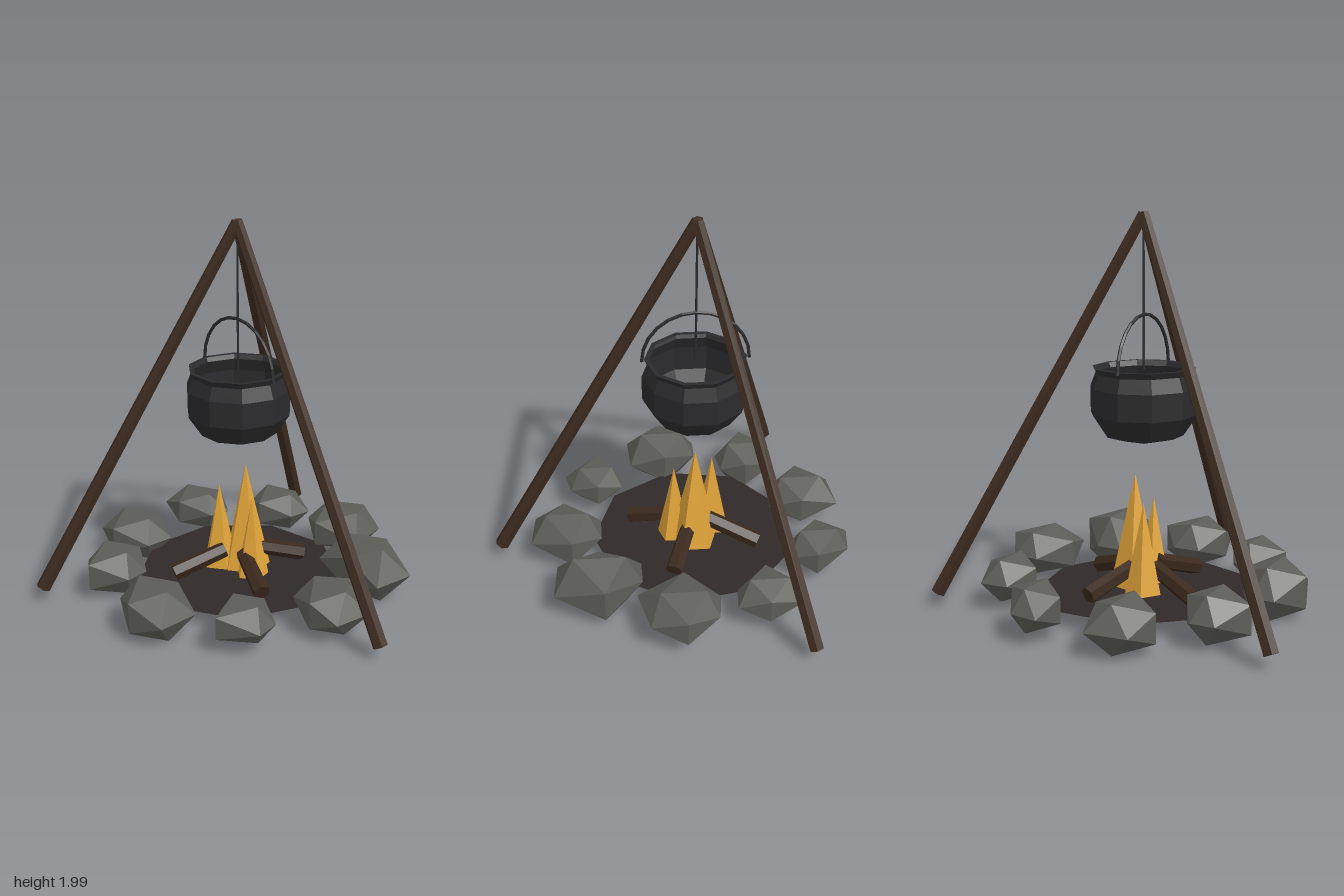
import * as THREE from 'three';

const CX = -0.126; // the fire and tripod axis

const mat = (color, extra = {}) => {
  const m = new THREE.MeshStandardMaterial({ flatShading: true, ...extra });
  m.color.set(color);
  return m;
};

const V = (x, y, z) => new THREE.Vector3(x, y, z);

// Tapered pole between two points
function pole(name, from, to, rFrom, rTo, sides, material) {
  const dir = to.clone().sub(from);
  const mesh = new THREE.Mesh(new THREE.CylinderGeometry(rTo, rFrom, dir.length(), sides), material);
  mesh.position.copy(from).addScaledVector(dir, 0.5);
  mesh.quaternion.setFromUnitVectors(V(0, 1, 0), dir.normalize());
  mesh.name = name;
  return mesh;
}

// Irregular stone: an icosahedron whose waist follows a six-point plan outline
// (back tip, back right, front right, front tip, front left, back left)
function stone(y0, y1, outline, material) {
  const geo = new THREE.IcosahedronGeometry(1, 0);
  const p = geo.attributes.position;
  const [back, backRight, frontRight, front, frontLeft, backLeft] = outline;
  const mid = (y0 + y1) / 2;
  const half = (y1 - y0) / 2;
  const cx = outline.reduce((sum, q) => sum + q[0], 0) / 6;
  const cz = outline.reduce((sum, q) => sum + q[1], 0) / 6;
  const width = (backRight[0] + frontRight[0] - backLeft[0] - frontLeft[0]) / 4;
  for (let i = 0; i < p.count; i++) {
    const x = p.getX(i), y = p.getY(i), z = p.getZ(i);
    if (Math.abs(x) > 0.8) {
      const [qx, qz] = x > 0 ? (z > 0 ? frontRight : backRight) : (z > 0 ? frontLeft : backLeft);
      p.setXYZ(i, qx, mid, qz);
    } else if (Math.abs(z) > 0.8) {
      const [qx, qz] = z > 0 ? front : back;
      p.setXYZ(i, qx, mid + Math.sign(y) * 0.6 * half, qz);
    } else {
      p.setXYZ(i, cx + Math.sign(x) * 0.6 * width, mid + Math.sign(y) * half, cz);
    }
  }
  geo.computeVertexNormals();
  const mesh = new THREE.Mesh(geo, material);
  mesh.name = 'stone';
  return mesh;
}

export function createModel() {
  const model = new THREE.Group();
  model.name = 'campfire';
  const wood = mat(0x3d2c20);
  const charred = mat(0x3a281c);
  const iron = mat(0x2b2b2d, { side: THREE.DoubleSide });
  const rock = mat(0x5c5c58);
  const fire = mat(0xe2a53a);

  // Ash bed
  const ash = new THREE.Mesh(
    new THREE.CircleGeometry(0.55, 9),
    mat(0x2f2a29, { side: THREE.DoubleSide })
  );
  ash.rotation.x = -Math.PI / 2;
  ash.position.set(CX, 0.09, 0);
  ash.name = 'ashBed';
  model.add(ash);

  // Tripod legs
  for (let i = 0; i < 3; i++) {
    const a = (i * 2 * Math.PI) / 3;
    const foot = V(CX + 1.052 * Math.cos(a), 0.08, 1.052 * Math.sin(a));
    model.add(pole('tripodLeg', foot, V(CX, 1.985, 0), 0.039, 0.03, 6, wood));
  }

  // Open cooking pot
  const profile = [
    [0, 0.842], [0.2, 0.892], [0.272, 1.0], [0.272, 1.135], [0.245, 1.205], [0.26, 1.235], [0.235, 1.235],
  ].map(([r, y]) => new THREE.Vector2(r, y));
  const pot = new THREE.Mesh(new THREE.LatheGeometry(profile, 10, Math.PI / 2), iron);
  pot.position.x = CX;
  pot.name = 'pot';
  model.add(pot);

  // Bail handle and hanging rod
  const handle = new THREE.Mesh(new THREE.TorusGeometry(0.27, 0.009, 5, 12, Math.PI), iron);
  handle.position.set(CX, 1.225, 0);
  handle.name = 'potHandle';
  model.add(handle);
  model.add(pole('hangingRod', V(CX, 1.22, 0), V(CX, 1.98, 0), 0.006, 0.006, 5, iron));

  // Flames: x, z, radius, tip
  for (const [x, z, r, tip] of [
    [CX, -0.05, 0.13, 0.687],
    [-0.226, 0.05, 0.095, 0.565],
    [-0.018, 0.0, 0.088, 0.542],
  ]) {
    const flame = new THREE.Mesh(new THREE.ConeGeometry(r, tip - 0.1, 5), fire);
    flame.position.set(x, (0.1 + tip) / 2, z);
    flame.name = 'flame';
    model.add(flame);
  }

  // Logs leaning in towards the middle
  for (let i = 0; i < 4; i++) {
    const a = 0.38 + (i * Math.PI) / 2;
    const at = (r, y) => V(CX + r * Math.cos(a), y, r * Math.sin(a));
    model.add(pole('log', at(0.365, 0.125), at(0.08, 0.215), 0.046, 0.042, 6, charred));
  }

  // Ring of stones: bottom, top and plan outline of [x, z] points
  const stones = [
    [0.06, 0.285, [[-0.02, -0.86], [0.16, -0.8], [0.215, -0.56], [-0.03, -0.48], [-0.21, -0.6], [-0.19, -0.75]]],
    [0.01, 0.31, [[0.38, -0.62], [0.64, -0.53], [0.62, -0.3], [0.4, -0.3], [0.18, -0.31], [0.18, -0.45]]],
    [0.03, 0.27, [[0.54, -0.2], [0.76, -0.1], [0.74, 0.11], [0.58, 0.145], [0.38, 0.07], [0.38, -0.08]]],
    [0.06, 0.26, [[0.39, 0.275], [0.54, 0.33], [0.57, 0.46], [0.38, 0.58], [0.25, 0.43], [0.25, 0.34]]],
    [0.01, 0.285, [[-0.01, 0.505], [0.19, 0.55], [0.2, 0.77], [0.01, 0.83], [-0.19, 0.74], [-0.19, 0.62]]],
    [0.03, 0.27, [[-0.47, 0.41], [-0.33, 0.47], [-0.31, 0.6], [-0.47, 0.74], [-0.64, 0.63], [-0.64, 0.5]]],
    [0.02, 0.265, [[-0.74, 0.07], [-0.57, 0.12], [-0.57, 0.28], [-0.75, 0.39], [-0.93, 0.34], [-0.95, 0.12]]],
    [0.05, 0.265, [[-0.75, -0.39], [-0.61, -0.33], [-0.62, -0.21], [-0.78, -0.1], [-0.95, -0.13], [-0.93, -0.28]]],
    [0.05, 0.265, [[-0.45, -0.72], [-0.29, -0.68], [-0.3, -0.55], [-0.46, -0.44], [-0.62, -0.51], [-0.63, -0.66]]],
  ];
  stones.forEach(([y0, y1, outline]) => model.add(stone(y0, y1, outline, rock)));

  return model;
}
